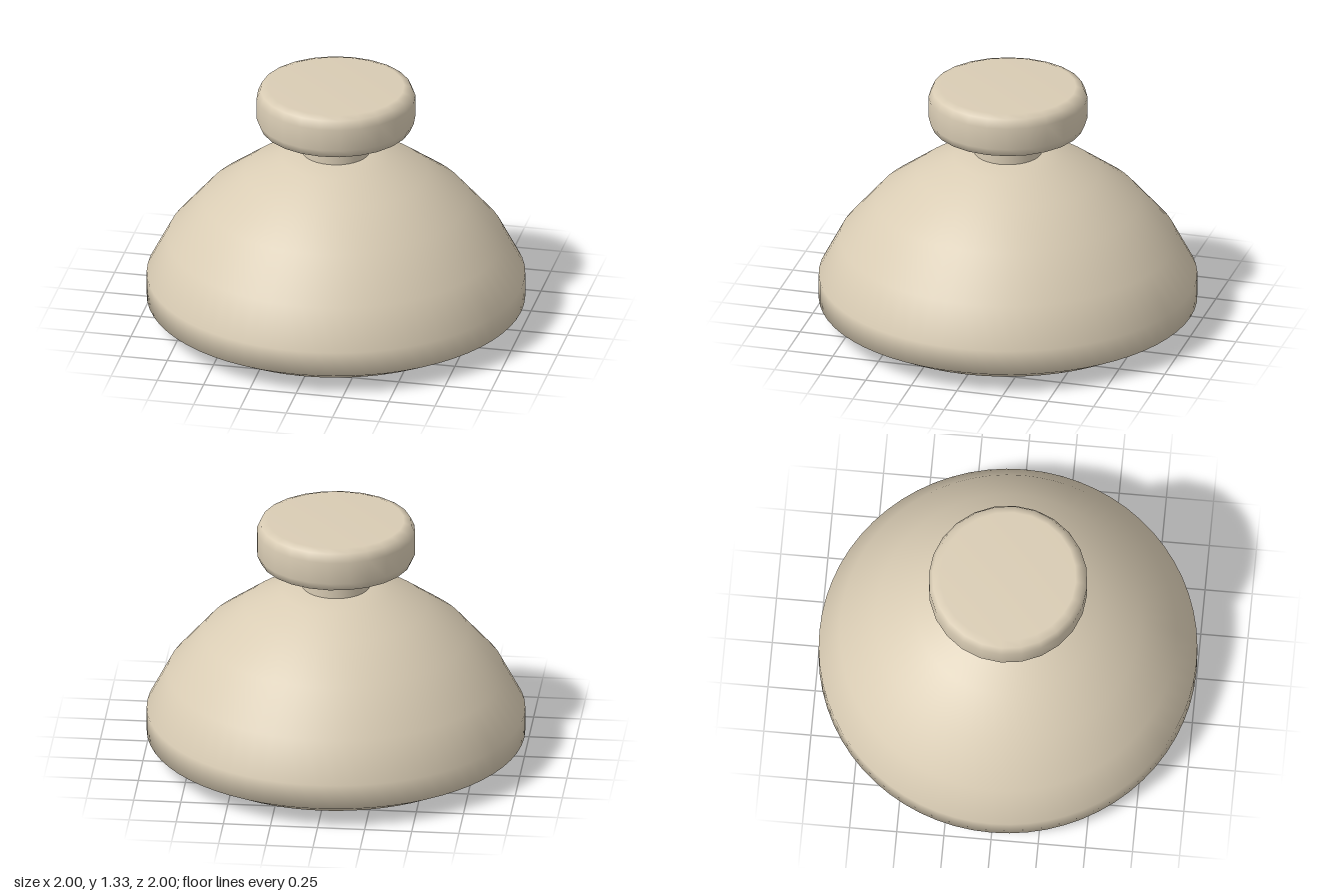
import * as THREE from 'three';

export function createModel() {
  const group = new THREE.Group();
  const beige = new THREE.MeshStandardMaterial({ color: 0xd9ccb4 });
  beige.name = 'warm beige';

  const add = (name, geometry) => {
    const mesh = new THREE.Mesh(geometry, beige);
    mesh.name = name;
    group.add(mesh);
    return mesh;
  };
  // Turned part from [radius, height] pairs, listed bottom to top
  const turned = (profile, sides) =>
    new THREE.LatheGeometry(profile.map(([r, y]) => new THREE.Vector2(r, y)), sides);

  // Domed body with a shallow rounded underside
  add('domeBody', turned([
    [0, 0], [0.6, 0.008], [0.86, 0.035], [1, 0.11], [1, 0.245], [0.89, 0.455],
    [0.7, 0.675], [0.485, 0.835], [0.29, 0.925], [0.17, 0.958], [0, 0.965],
  ], 64));

  // Short neck between dome and knob
  add('neck', new THREE.CylinderGeometry(0.18, 0.18, 0.2, 32, 1, true)).position.y = 1.02;

  // Flat round knob with softened rims
  add('knob', turned([
    [0, 1.09], [0.36, 1.09], [0.4, 1.105], [0.42, 1.15],
    [0.42, 1.27], [0.4, 1.315], [0.36, 1.33], [0, 1.33],
  ], 24));

  return group;
}
